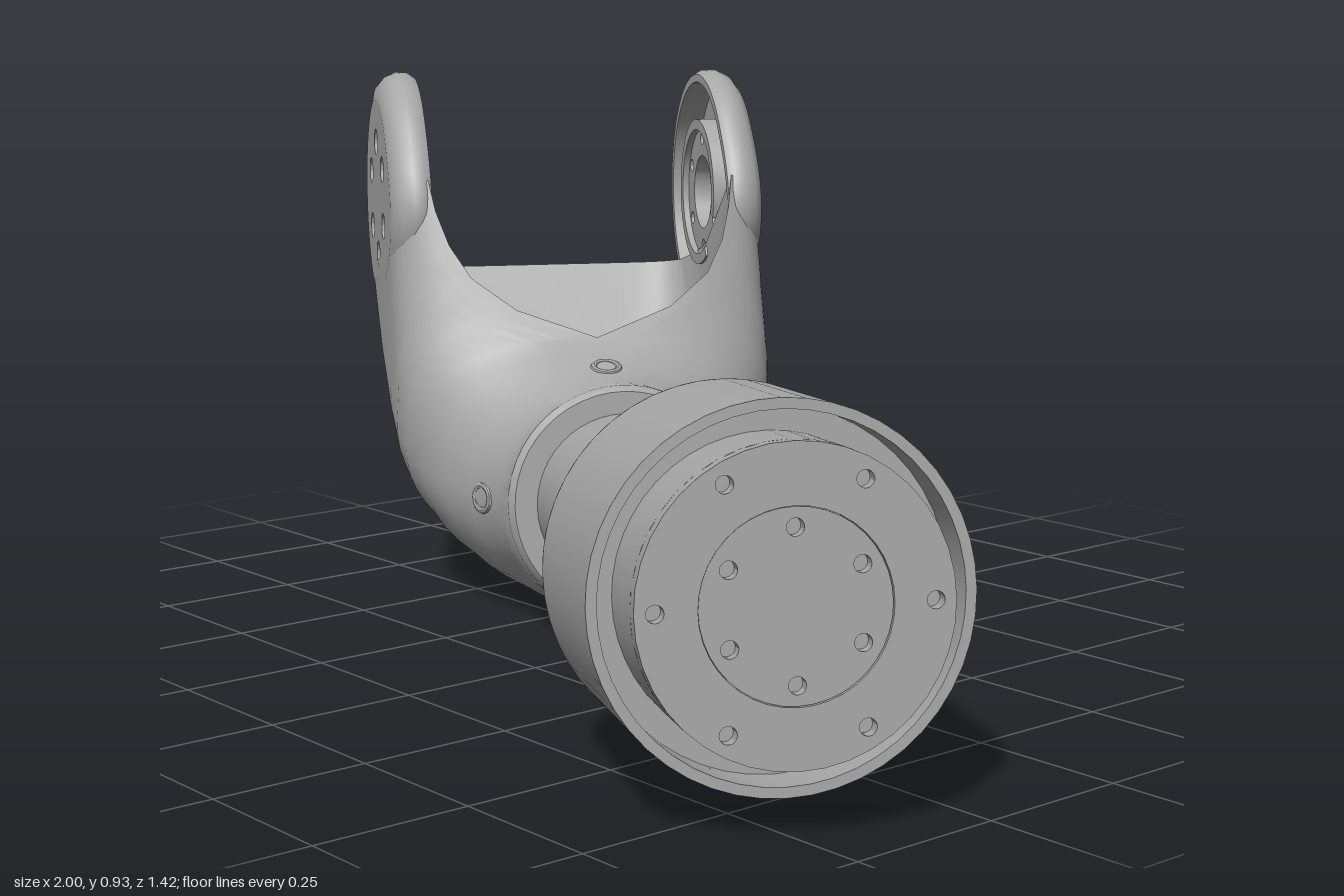
import * as THREE from 'three';
import { toCreasedNormals } from 'three/addons/utils/BufferGeometryUtils.js';

const grey = new THREE.MeshStandardMaterial({ color: 0xa8a8a8, side: THREE.DoubleSide });
grey.name = 'grey metal';
const TAU = Math.PI * 2;

function part(name, geometry, crease = 0.6) {
  const mesh = new THREE.Mesh(toCreasedNormals(geometry, crease), grey);
  mesh.name = name;
  return mesh;
}

// Skin over rows of equal length, each row a closed loop of [x, y, z]
function loft(rows) {
  const n = rows[0].length, index = [];
  for (let r = 0; r < rows.length - 1; r++) {
    for (let i = 0; i < n; i++) {
      const a = r * n + i, b = r * n + (i + 1) % n;
      index.push(a, b, a + n, b, b + n, a + n);
    }
  }
  const g = new THREE.BufferGeometry();
  g.setAttribute('position', new THREE.Float32BufferAttribute(rows.flat(2), 3));
  g.setIndex(index);
  return g;
}

// Lathe around the x axis from [radius, x] points
function turned(points) {
  const g = new THREE.LatheGeometry(points.map(p => new THREE.Vector2(p[0], p[1])), 48);
  return g.rotateZ(-Math.PI / 2);
}

function circleHole(shape, x, y, r) {
  shape.holes.push(new THREE.Path().absarc(x, y, r, 0, TAU, true));
}

function holeRing(shape, cx, cy, ring, r, start) {
  for (let i = 0; i < 6; i++) {
    const a = start + i * TAU / 6;
    circleHole(shape, cx + ring * Math.cos(a), cy + ring * Math.sin(a), r);
  }
}

const extrude = (shape, depth) =>
  new THREE.ExtrudeGeometry(shape, { depth, bevelEnabled: false, curveSegments: 20 });

// Hollow fork body: bottom x,y, top x,y, half width, opening half width,
// squareness of the upper and of the lower half
function forkBody() {
  const stations = [
    [-0.085, -0.19, -0.085, 0.19, 0.19, 0, 2, 2],
    [-0.097, -0.2, -0.097, 0.2, 0.2, 0, 2, 2],
    [-0.2, -0.207, -0.18, 0.2, 0.2, 0, 2, 2],
    [-0.28, -0.213, -0.235, 0.222, 0.24, 0, 2.2, 1.9],
    [-0.36, -0.207, -0.28, 0.245, 0.28, 0, 2.5, 1.9],
    [-0.42, -0.183, -0.315, 0.268, 0.31, 0, 2.8, 2],
    [-0.49, -0.13, -0.338, 0.295, 0.333, 0.14, 3, 2.3],
    [-0.55, -0.065, -0.36, 0.328, 0.343, 0.215, 3.3, 2.8],
    [-0.63, 0.035, -0.385, 0.365, 0.345, 0.25, 4, 4],
    [-0.76, 0.187, -0.412, 0.4, 0.345, 0.27, 5.5, 6],
    [-0.887, 0.378, -0.432, 0.435, 0.345, 0.28, 8, 9],
  ];
  const K = 24;
  const rows = stations.map(([bx, by, tx, ty, w, wi, upper, lower]) => {
    const length = Math.hypot(tx - bx, ty - by);
    const lift = 1.6 * wi * wi; // raised flanks beside the opening
    const at = (v, z) => [bx + (tx - bx) * v, by + (ty - by) * v + lift * v ** 5, z];
    const end = Math.acos(Math.pow(wi / w, upper / 2));
    const half = [];
    let top = 1;
    for (let k = 0; k <= K; k++) {
      const a = -Math.PI / 2 + (end + Math.PI / 2) * k / K;
      const s = Math.sin(a), power = 2 / (s < 0 ? lower : upper);
      top = 0.5 + 0.5 * Math.sign(s) * Math.pow(Math.abs(s), power);
      half.push(at(top, w * Math.pow(Math.max(0, Math.cos(a)), power)));
    }
    const floor = wi > 0 ? 0.022 / length : top;
    for (let k = 0; k <= K; k++) {
      const a = Math.PI / 2 * k / K;
      const drop = Math.pow(Math.sin(a), 2 / lower);
      half.push(at(top + (floor - top) * drop, wi * Math.pow(Math.max(0, Math.cos(a)), 2 / lower)));
    }
    return half;
  });
  // Close the collar end and the rear wall edge
  const last = rows[rows.length - 1];
  rows.unshift(rows[0].map(() => [-0.085, 0, 0]));
  rows.push(last.map((p, i) => (i <= K ? last[2 * K + 1 - i] : p)));
  return loft(rows.map(h => h.concat(h.slice(1, -1).reverse().map(([x, y, z]) => [x, y, -z]))));
}

// Rounded fork ear with screw holes, deep lip and recessed bearing seat
function forkEar() {
  const ear = new THREE.Group();
  const cx = -0.692, cy = 0.52;
  const outline = inset => Array.from({ length: 72 }, (_, i) => {
    const a = -Math.PI + i * TAU / 72;
    let r = 0.235 + 0.035 * Math.pow(Math.max(0, Math.cos((a + 0.2) * 1.4)), 4);
    if (Math.sin(a) < 0) r = Math.min(r, 0.2 / -Math.sin(a));
    r -= inset;
    return [cx + r * Math.cos(a), cy + r * Math.sin(a)];
  });
  const face = new THREE.Shape(outline(0.05).map(p => new THREE.Vector2(p[0], p[1])));
  holeRing(face, cx, cy, 0.105, 0.024, Math.PI / 2);
  ear.add(part('earPlate', extrude(face, 0.02).translate(0, 0, 0.325)));

  const rim = [[0.05, 0.345], [0.026, 0.34], [0.009, 0.326], [0, 0.306], [0.001, 0.286],
    [0.009, 0.274], [0.024, 0.274], [0.026, 0.325], [0.05, 0.325]];
  ear.add(part('earRim', loft(rim.map(([inset, z]) => outline(inset).map(p => [...p, z])))));

  // Split ring, open toward the lower front
  const seat = new THREE.Shape();
  seat.absarc(cx, cy, 0.14, -0.35, TAU - 1.05, false);
  seat.absarc(cx, cy, 0.12, TAU - 1.05, -0.35, true);
  ear.add(part('bearingSeat', extrude(seat, 0.052).translate(0, 0, 0.273)));
  const flange = new THREE.Shape().absarc(cx, cy, 0.132, 0, TAU, false);
  circleHole(flange, cx, cy, 0.07);
  holeRing(flange, cx, cy, 0.103, 0.012, Math.PI / 2);
  ear.add(part('bearingFlange', extrude(flange, 0.035).translate(0, 0, 0.285)));
  return ear;
}

// Tapered motor shoulder with six screw pockets
function motorShoulder() {
  const xs = [0.49, 0.505, 0.52, 0.535, 0.55, 0.565, 0.58, 0.598, 0.6, 0.63];
  const ring = (x, radius) => Array.from({ length: 144 }, (_, i) => {
    const a = i * TAU / 144, r = radius(a);
    return [x, r * Math.sin(a), r * Math.cos(a)];
  });
  const rows = xs.map(x => ring(x, a => {
    const base = 0.185 + (x - 0.49) / 0.14 * 0.08;
    const step = TAU / 6;
    const d = ((a % step) + step) % step - step / 2;
    const side = 0.235 * Math.sin(d);
    if (x > 0.599 || Math.abs(side) > 0.054) return base;
    return Math.min(base, 0.235 * Math.cos(d) - Math.sqrt(0.054 ** 2 - side ** 2));
  }));
  rows.unshift(ring(0.49, () => 0.14));
  return loft(rows);
}

export function createModel() {
  const model = new THREE.Group();
  model.name = 'robotArmLink';
  const arm = new THREE.Group();
  arm.name = 'armLink';
  model.add(arm);

  // Fork with two mirrored ears
  arm.add(part('forkBody', forkBody(), 0.7));
  for (const side of [1, -1]) {
    const ear = forkEar();
    ear.name = side > 0 ? 'leftForkEar' : 'rightForkEar';
    ear.scale.z = side;
    arm.add(ear);
  }

  // Screw sockets around the collar, each tilted to the flared surface: radius, tilt
  const sockets = [[0.223, 0.46], [0.22, 0.38], [0.223, 0.46], [0.206, 0.08]];
  sockets.forEach(([radius, tilt], i) => {
    const holder = new THREE.Group();
    holder.name = 'collarSocket';
    const socket = part('screwSocket', new THREE.TorusGeometry(0.022, 0.006, 8, 24));
    socket.position.set(-0.235, 0, radius);
    socket.rotation.y = tilt;
    holder.add(socket);
    holder.rotation.x = -i * Math.PI / 2;
    arm.add(holder);
  });

  // Connecting tube
  arm.add(part('tube', turned([[0.152, -0.12], [0.152, 0.52]])));

  // Motor housing with a recessed groove around the output hub
  arm.add(part('motorShoulder', motorShoulder(), 0.5));
  arm.add(part('motorHousing', turned([
    [0.265, 0.63], [0.265, 0.957], [0.25, 0.957], [0.25, 0.88], [0.215, 0.88], [0.215, 1], [0, 1],
  ])));
  const hub = new THREE.Shape().absarc(0, 0, 0.215, 0, TAU, false);
  circleHole(hub, 0, 0, 0.131);
  holeRing(hub, 0, 0, 0.187, 0.012, 0);
  arm.add(part('outputHub', extrude(hub, 0.025).rotateY(Math.PI / 2).translate(0.997, 0, 0)));
  const disc = new THREE.Shape().absarc(0, 0, 0.13, 0, TAU, false);
  holeRing(disc, 0, 0, 0.103, 0.012, Math.PI / 2);
  arm.add(part('outputDisc', extrude(disc, 0.022).rotateY(Math.PI / 2).translate(0.997, 0, 0)));

  // Turn and tilt the link into its resting pose
  arm.rotation.set(0, -28 * Math.PI / 180, 4.6 * Math.PI / 180);
  arm.position.set(0, 0.236, 0.037);
  return model;
}
